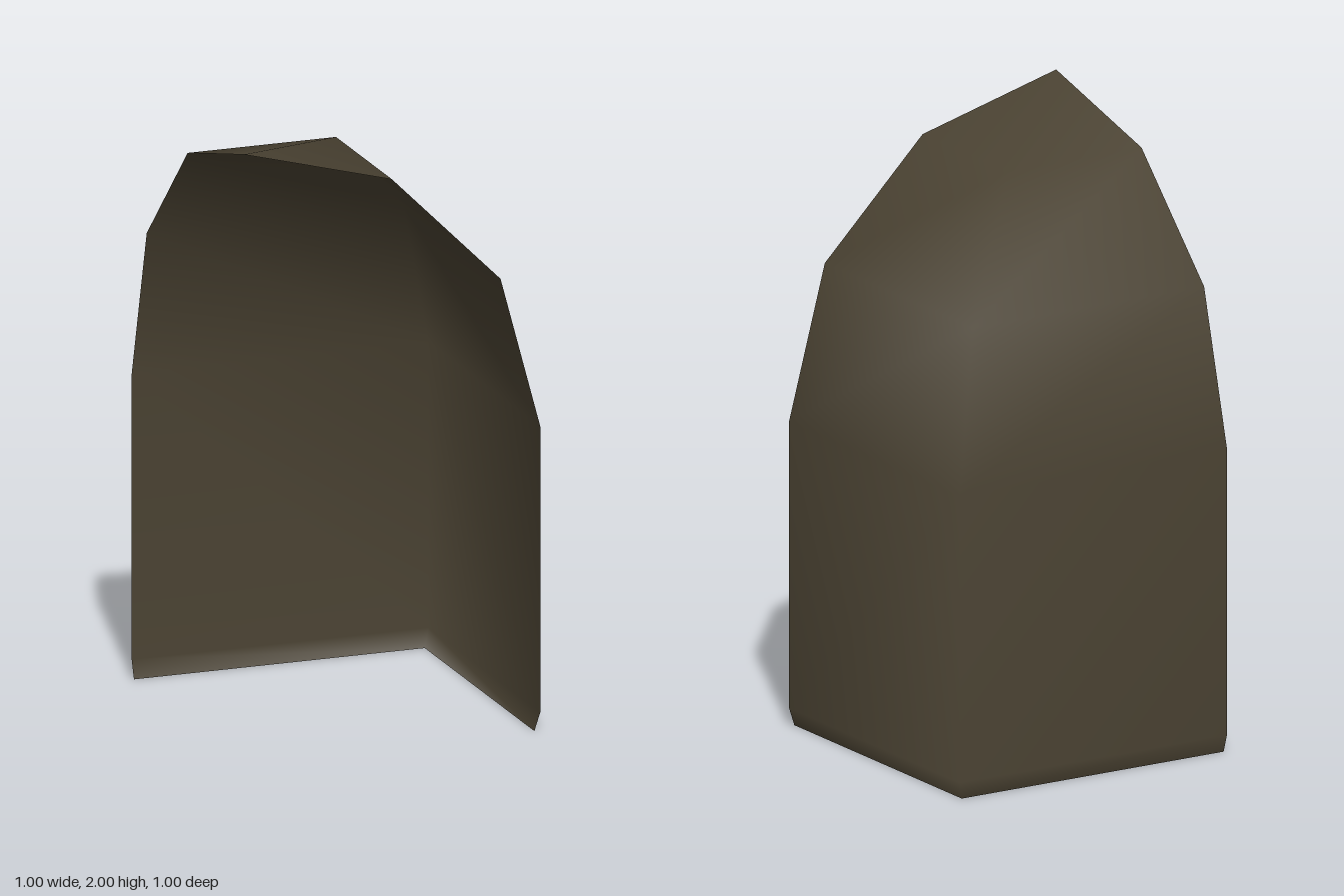
import * as THREE from 'three';

export function createModel() {
  const group = new THREE.Group();
  group.name = 'vaultedCorner';
  const stone = new THREE.MeshStandardMaterial({ color: 0x4a4232, side: THREE.DoubleSide });
  stone.name = 'dark stone';

  // Cross-section of the wall: [distance out, height], bevelled foot to curved top
  const profile = [[0.48, 0], [0.5, 0.06], [0.5, 1]];
  for (const deg of [30, 60]) {
    const a = THREE.MathUtils.degToRad(deg);
    profile.push([Math.cos(a) - 0.5, 1 + Math.sin(a)]);
  }

  // Each level runs along the back wall, round the corner and along the side wall
  const positions = [];
  for (const [p, y] of profile) positions.push(-0.5, y, -p, p, y, -p, p, y, 0.5);
  const apex = profile.length * 3;
  positions.push(-0.5, 2, 0.5);

  const index = [];
  for (let i = 0; i < profile.length; i++) {
    for (let j = 0; j < 2; j++) {
      const a = i * 3 + j, b = a + 1;
      // The last level closes to a single point
      if (i === profile.length - 1) index.push(b, a, apex);
      else index.push(b, a, a + 3, b, a + 3, b + 3);
    }
  }

  const geometry = new THREE.BufferGeometry();
  geometry.setAttribute('position', new THREE.Float32BufferAttribute(positions, 3));
  geometry.setIndex(index);
  geometry.computeVertexNormals();

  const shell = new THREE.Mesh(geometry, stone);
  shell.name = 'cornerShell';
  group.add(shell);
  return group;
}
